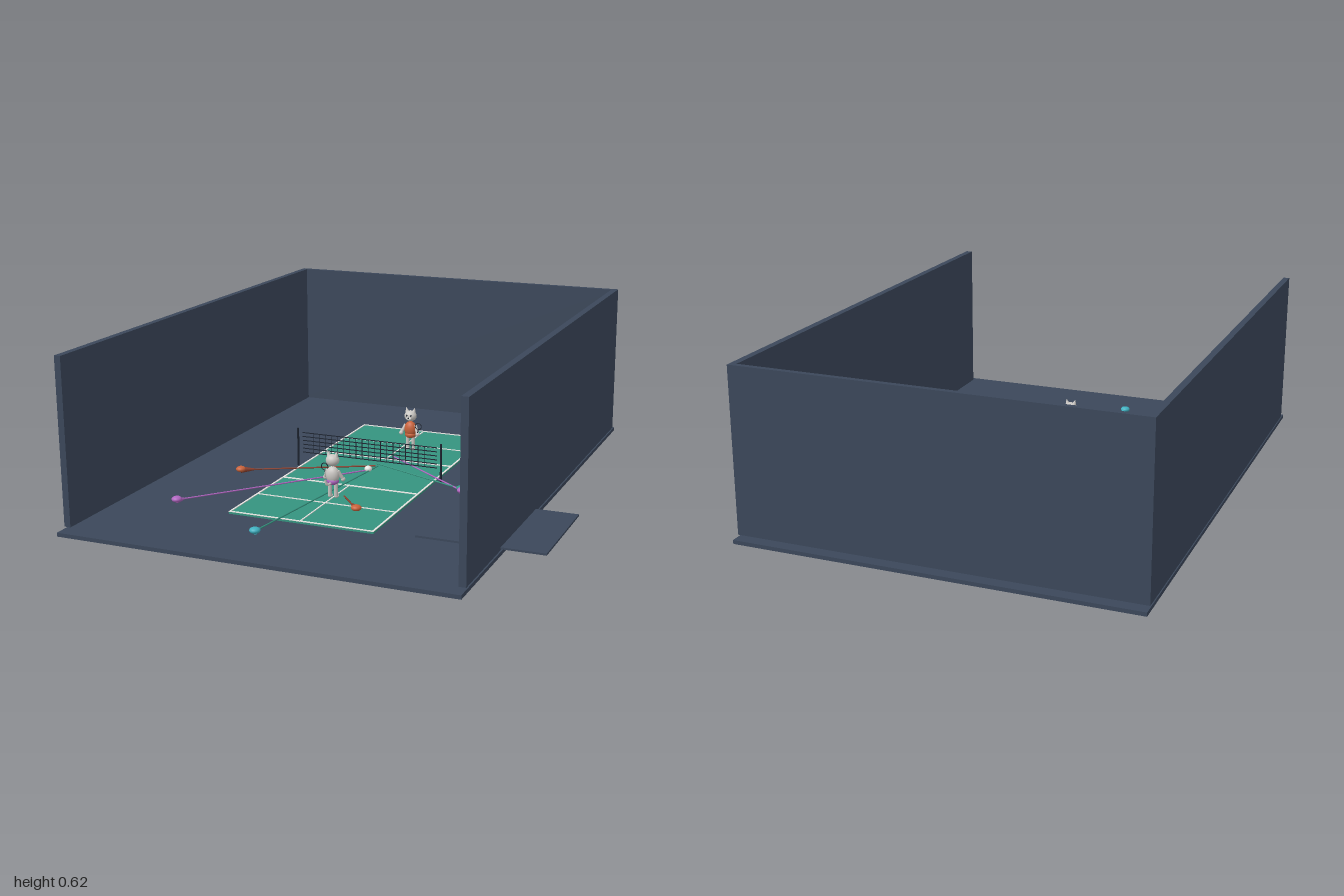
import * as THREE from 'three';

const mat = (name, color) => {
  const m = new THREE.MeshStandardMaterial({ color });
  m.name = name;
  return m;
};

export function createModel() {
  const slate = mat('slate', 0x3b475a), green = mat('courtGreen', 0x35937f), white = mat('lineWhite', 0xe6e6e2),
    dark = mat('netDark', 0x1d2430), fur = mat('furGrey', 0xc9c6c2), orange = mat('orange', 0xc8623a),
    purple = mat('purple', 0xb065c0), cyan = mat('cyan', 0x3fb0c0), rust = mat('rust', 0x8c3f2c);

  const root = new THREE.Group();
  root.name = 'indoorCourt';

  const add = (parent, name, geo, m, x = 0, y = 0, z = 0) => {
    const mesh = new THREE.Mesh(geo, m);
    mesh.name = name;
    mesh.position.set(x, y, z);
    parent.add(mesh);
    return mesh;
  };
  // Box given by its minimum and maximum corners
  const box = (parent, name, m, x0, x1, y0, y1, z0, z1) =>
    add(parent, name, new THREE.BoxGeometry(x1 - x0, y1 - y0, z1 - z0), m, (x0 + x1) / 2, (y0 + y1) / 2, (z0 + z1) / 2);
  // Thin rod between two points
  const rod = (parent, name, m, a, b, r, r2 = r) => {
    const p = new THREE.Vector3(...a), q = new THREE.Vector3(...b), d = q.clone().sub(p);
    const mesh = add(parent, name, new THREE.CylinderGeometry(r2, r, d.length(), 10), m);
    mesh.position.copy(p).add(q).multiplyScalar(0.5);
    mesh.quaternion.setFromUnitVectors(new THREE.Vector3(0, 1, 0), d.normalize());
    return mesh;
  };
  const ball = (parent, name, m, r, x, y, z, sx = 1, sy = 1, sz = 1) => {
    const mesh = add(parent, name, new THREE.SphereGeometry(r, 20, 14), m, x, y, z);
    mesh.scale.set(sx, sy, sz);
    return mesh;
  };

  // Room: the walls float slightly above the floor
  box(root, 'floor', slate, -0.803, 0.645, 0, 0.014, -1, 1);
  box(root, 'backWall', slate, -0.803, 0.645, 0.021, 0.62, -0.968, -0.948);
  box(root, 'rightWall', slate, -0.803, -0.779, 0.021, 0.62, -0.948, 0.955);
  box(root, 'leftWall', slate, 0.62, 0.645, 0.021, 0.62, -0.948, 0.955);
  box(root, 'sidePlatform', slate, 0.347, 0.8, 0.024, 0.031, 0.2, 0.61);

  // Court surface and painted lines
  const court = new THREE.Group();
  court.name = 'court';
  root.add(court);
  const cx = -0.08, X0 = -0.356, X1 = 0.196, Z = 0.61;
  box(court, 'courtSurface', green, X0, X1, 0.014, 0.021, -Z, Z);
  const line = (x0, x1, z0, z1) => box(court, 'courtLine', white, x0, x1, 0.021, 0.0235, z0, z1);
  for (const x of [X0, X1 - 0.007]) line(x, x + 0.007, -Z, Z);
  for (const s of [-1, 1]) {
    for (const [z, w] of [[0.606, 0.007], [0.395, 0.005], [0.182, 0.009]]) line(X0, X1, s * z - w / 2, s * z + w / 2);
    line(cx - 0.0025, cx + 0.0025, s > 0 ? 0.182 : -Z, s > 0 ? Z : -0.182);
  }

  // Net
  const net = new THREE.Group();
  net.name = 'net';
  root.add(net);
  for (const x of [-0.376, 0.216]) rod(net, 'netPost', dark, [x, 0.014, 0], [x, 0.165, 0], 0.004);
  for (let i = 0; i < 6; i++) {
    const y = 0.07 + i * 0.0158;
    box(net, 'netCord', dark, X0, X1 + 0.004, y - 0.0015, y + 0.0015, -0.0015, 0.0015);
  }
  for (let i = 0; i < 19; i++) {
    const x = cx + (i - 9) * 0.0255;
    box(net, 'netMesh', dark, x - 0.001, x + 0.001, 0.07, 0.15, -0.001, 0.001);
  }

  // Cat players, modelled facing +z
  const player = (name, x, z, turn, shirt, shorts) => {
    const g = new THREE.Group();
    g.name = name;
    g.position.set(x, 0.021, z);
    g.rotation.y = turn;
    root.add(g);
    ball(g, 'torso', shirt, 0.026, 0, 0.087, 0, 1, 1.25, 0.8);
    ball(g, 'hips', shorts, 0.023, 0, 0.064, 0, 1, 0.65, 0.85);
    ball(g, 'head', fur, 0.024, 0, 0.142, 0, 1.05, 0.92, 0.95);
    ball(g, 'muzzle', white, 0.009, 0, 0.135, 0.02, 1.2, 0.8, 0.7);
    ball(g, 'nose', dark, 0.003, 0, 0.138, 0.026);
    for (const s of [-1, 1]) {
      const ear = add(g, 'ear', new THREE.ConeGeometry(0.009, 0.022, 12), fur, s * 0.016, 0.167, 0);
      ear.rotation.z = -s * 0.25;
      ball(g, 'eye', dark, 0.0035, s * 0.009, 0.147, 0.0205);
      rod(g, 'leg', fur, [s * 0.012, 0.006, 0], [s * 0.012, 0.062, 0], 0.0075);
      ball(g, 'foot', fur, 0.009, s * 0.012, 0.006, 0.005, 1, 0.65, 1.4);
      rod(g, 'arm', fur, [s * 0.021, 0.104, 0], [s * 0.035, 0.072, 0.012], 0.0065);
      ball(g, 'paw', fur, 0.0085, s * 0.035, 0.071, 0.013);
    }
    // Tail and racket
    const tail = new THREE.CatmullRomCurve3([[0, 0.06, -0.018], [0.008, 0.058, -0.033], [0.014, 0.078, -0.038]]
      .map((p) => new THREE.Vector3(...p)));
    add(g, 'tail', new THREE.TubeGeometry(tail, 12, 0.0045, 8), fur);
    rod(g, 'racketHandle', dark, [0.035, 0.068, 0.013], [0.04, 0.094, 0.02], 0.002);
    add(g, 'racketRim', new THREE.TorusGeometry(0.013, 0.0017, 8, 24), dark, 0.042, 0.107, 0.022);
  };
  player('frontPlayer', cx, 0.33, Math.PI, fur, purple);
  player('backPlayer', -0.038, -0.34, 0, orange, orange);

  // Ball trails lying on the floor, each ending in a coloured marker
  const trails = [
    [-0.075, -0.06, -0.535, 0.18, rust, orange, true],
    [-0.08, 0, -0.58, 0.585, purple, purple, false],
    [-0.065, -0.06, -0.17, 0.77, green, cyan, false],
    [-0.04, 0.32, 0.055, 0.43, rust, orange, true],
    [-0.08, -0.09, 0.328, 0.085, green, green, false],
    [-0.055, -0.2, 0.337, 0.105, purple, purple, false],
  ];
  for (const [ax, az, bx, bz, trailMat, endMat, tapered] of trails) {
    const y = 0.029, g = new THREE.Group();
    g.name = 'shotTrail';
    root.add(g);
    rod(g, 'trail', trailMat, [ax, y, az], [bx, y, bz], 0.0028);
    ball(g, 'marker', endMat, 0.019, bx, 0.032, bz, 1, 0.6, 1);
    const k = (tapered ? 0.055 : 0.03) / Math.hypot(bx - ax, bz - az);
    rod(g, 'markerTail', tapered ? rust : endMat, [bx, y, bz], [bx + (ax - bx) * k, y, bz + (az - bz) * k], 0.013, 0.003);
  }
  ball(root, 'ball', white, 0.015, cx, 0.034, 0, 1, 0.8, 1);
  return root;
}
